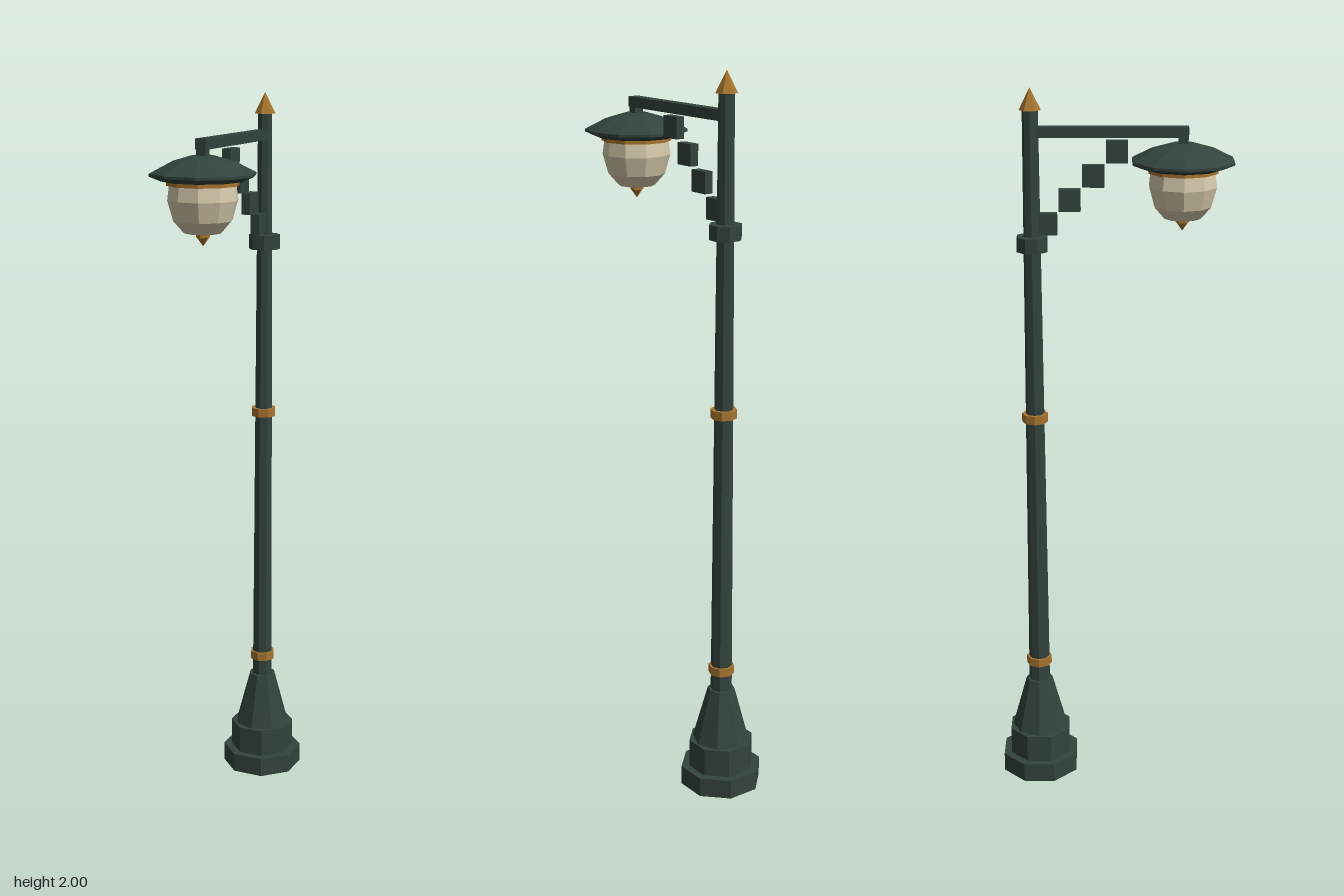
import * as THREE from 'three';

const POLE_Z = -0.213, LAMP_Z = 0.186;

export function createModel() {
  const mat = (name, color, side = THREE.FrontSide) => {
    const m = new THREE.MeshStandardMaterial({ color, flatShading: true, side });
    m.name = name;
    return m;
  };
  const iron = mat('dark green iron', 0x33433d);
  const brass = mat('aged brass', 0xa8752f);
  const glass = mat('cream glass', 0xd6caac);

  const root = new THREE.Group();
  root.name = 'streetLamp';
  const post = new THREE.Group();
  post.name = 'post';
  post.position.z = POLE_Z;
  const lantern = new THREE.Group();
  lantern.name = 'lantern';
  lantern.position.z = LAMP_Z;
  const arm = new THREE.Group();
  arm.name = 'arm';
  root.add(post, lantern, arm);

  const add = (parent, name, geometry, material) => {
    const mesh = new THREE.Mesh(geometry, material);
    mesh.name = name;
    parent.add(mesh);
    return mesh;
  };
  // Upright prism between two heights; turn rotates its corners
  const prism = (parent, name, rBottom, rTop, y0, y1, sides, material, turn = 0) => {
    const mesh = add(parent, name, new THREE.CylinderGeometry(rTop, rBottom, y1 - y0, sides), material);
    mesh.position.y = (y0 + y1) / 2;
    mesh.rotation.y = turn;
    return mesh;
  };
  const box = (parent, name, w, h, d, y, z) => {
    const mesh = add(parent, name, new THREE.BoxGeometry(w, h, d), iron);
    mesh.position.set(0, y, z);
  };
  // Ten-sided turned part, corners on the x axis
  const turned = (name, profile, material) => {
    const points = profile.map(([r, y]) => new THREE.Vector2(r, y));
    const mesh = add(lantern, name, new THREE.LatheGeometry(points, 10), material);
    mesh.rotation.y = Math.PI / 10;
  };

  // Post: stepped octagonal foot, tapered shaft, collar and bands
  const eighth = Math.PI / 8;
  prism(post, 'foot', 0.115, 0.115, 0, 0.055, 8, iron, eighth);
  prism(post, 'plinth', 0.092, 0.092, 0.055, 0.135, 8, iron, eighth);
  prism(post, 'pedestal', 0.08, 0.038, 0.135, 0.29, 8, iron);
  prism(post, 'shaft', 0.03, 0.021, 0.29, 1.945, 8, iron);
  prism(post, 'collar', 0.044, 0.044, 1.57, 1.61, 8, iron, eighth);
  for (const y of [0.35, 1.1]) prism(post, 'band', 0.036, 0.036, y - 0.012, y + 0.012, 8, brass);
  prism(post, 'finial', 0.029, 0, 1.942, 2, 6, brass);

  // Arm with its stepped brace and the hanger above the lantern
  box(arm, 'armBar', 0.03, 0.028, 0.413, 1.886, -0.0065);
  box(arm, 'hanger', 0.026, 0.04, 0.026, 1.86, LAMP_Z);
  for (let i = 0; i < 4; i++) {
    box(arm, 'braceBlock', 0.025, 0.058, 0.058, 1.835 - i * 0.064, 0.013 - i * 0.0625);
  }

  // Lantern: shade, ring, globe and drop
  turned('shade', [[0, 1.793], [0.108, 1.793], [0.14, 1.806], [0.14, 1.813], [0.085, 1.841], [0.03, 1.857], [0, 1.857]], iron);
  prism(lantern, 'globeRing', 0.096, 0.096, 1.782, 1.795, 10, brass, Math.PI / 10);
  turned('globe', [[0, 1.657], [0.05, 1.66], [0.078, 1.692], [0.093, 1.745], [0.087, 1.79], [0, 1.79]], glass);
  prism(lantern, 'dropCap', 0.018, 0.018, 1.648, 1.66, 6, brass);
  prism(lantern, 'drop', 0, 0.016, 1.625, 1.648, 6, brass);

  return root;
}
